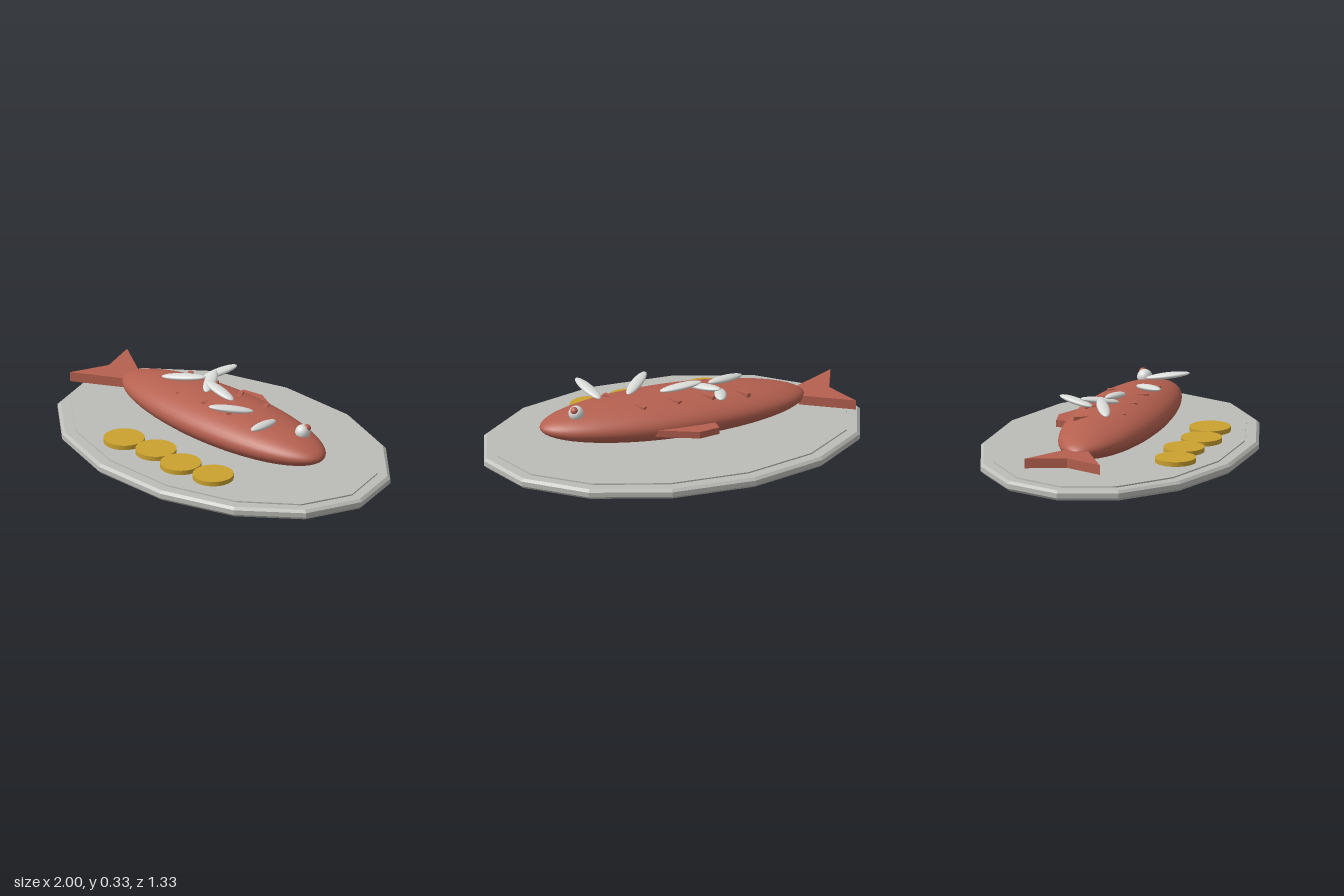
import * as THREE from 'three';

const mat = (name, color) => {
  const m = new THREE.MeshStandardMaterial({ color });
  m.name = name;
  return m;
};

export function createModel() {
  const group = new THREE.Group();
  const platterGrey = mat('platter grey', 0xbcbcb8);
  const fishRed = mat('fish red', 0xb5604f);
  const almondWhite = mat('almond white', 0xd9dbd8);
  const lemonGold = mat('lemon gold', 0xcba22f);

  const add = (name, geometry, material, x = 0, y = 0, z = 0) => {
    const m = new THREE.Mesh(geometry, material);
    m.name = name;
    m.position.set(x, y, z);
    group.add(m);
    return m;
  };
  const ellipsoid = (rx, ry, rz, w = 24, h = 16) => new THREE.SphereGeometry(1, w, h).scale(rx, ry, rz);

  // Oval platter: fourteen flat sides, bevelled rim, slightly raised middle
  const slab = (rx0, rz0, rx1, rz1, y0, y1) => {
    const g = new THREE.CylinderGeometry(1, 1, 1, 14).rotateY(Math.PI / 2);
    const p = g.attributes.position;
    for (let i = 0; i < p.count; i++) {
      const top = p.getY(i) > 0;
      p.setXYZ(i, p.getX(i) * (top ? rx1 : rx0), top ? y1 : y0, p.getZ(i) * (top ? rz1 : rz0));
    }
    const flat = g.toNonIndexed();
    flat.computeVertexNormals();
    return flat;
  };
  add('platterFoot', slab(0.985, 0.665, 1, 0.68, 0, 0.015), platterGrey);
  add('platterRim', slab(1, 0.68, 1, 0.68, 0.015, 0.04), platterGrey);
  add('platterBevel', slab(1, 0.68, 0.985, 0.665, 0.04, 0.053), platterGrey);
  add('platterCentre', slab(0.93, 0.61, 0.93, 0.61, 0.05, 0.06), platterGrey);

  // Fish body, long axis along x
  const body = new THREE.SphereGeometry(1, 40, 28).rotateZ(-Math.PI / 2).scale(0.7, 0.11, 0.23);
  add('fishBody', body, fishRed, 0, 0.174, 0);

  // Flat fins, outlined in x and z
  const fin = (name, points, top, depth) => {
    const shape = new THREE.Shape(points.map(([x, z]) => new THREE.Vector2(x, z)));
    const g = new THREE.ExtrudeGeometry(shape, { depth, bevelEnabled: false }).rotateX(Math.PI / 2);
    add(name, g, fishRed, 0, top, 0);
  };
  fin('tailFin', [[-0.66, -0.05], [-0.91, -0.2], [-0.835, 0], [-0.91, 0.2], [-0.66, 0.05]], 0.182, 0.05);
  fin('dorsalFin', [[-0.155, -0.19], [-0.155, -0.287], [-0.045, -0.31], [0.16, -0.22], [0.16, -0.19]], 0.182, 0.036);

  // Slanted score bars, surfacing at both ends
  [[-0.295, 0.268], [-0.11, 0.278], [0.07, 0.279], [0.255, 0.272]].forEach(([x, top]) => {
    add('scoreBar', new THREE.BoxGeometry(0.024, 0.028, 0.27), fishRed, x, top - 0.014, -0.01).rotation.y = 0.56;
  });

  // Eye and pupil
  add('eye', ellipsoid(0.039, 0.039, 0.039), almondWhite, 0.525, 0.255, -0.045);
  add('pupil', ellipsoid(0.02, 0.02, 0.02, 16, 12), fishRed, 0.54, 0.277, -0.06);

  // Tilted almonds: each runs from its low tip to its high tip
  const almonds = [
    [[-0.23, -0.07], [-0.175, -0.26]],
    [[-0.10, 0.03], [-0.21, -0.14]],
    [[0.065, 0], [-0.15, -0.02]],
    [[-0.39, 0.06], [-0.18, -0.045]],
    [[0.23, 0.015], [0.08, 0.185]],
    [[0.38, 0.01], [0.435, 0.225]],
  ];
  almonds.forEach(([[x0, z0], [x1, z1]]) => {
    const a = new THREE.Vector3(x0, 0.29, z0);
    const b = new THREE.Vector3(x1, 0.32, z1);
    const almond = add('almond', ellipsoid(0.031, 0.016, a.distanceTo(b) / 2), almondWhite);
    almond.position.copy(a).lerp(b, 0.5);
    almond.lookAt(b);
  });

  // Row of lemon slices
  [[-0.31, 0.4], [-0.105, 0.375], [0.1, 0.4], [0.31, 0.375]].forEach(([x, z]) => {
    add('lemonSlice', new THREE.CylinderGeometry(0.104, 0.104, 0.024, 32), lemonGold, x, 0.077, z);
  });

  return group;
}
